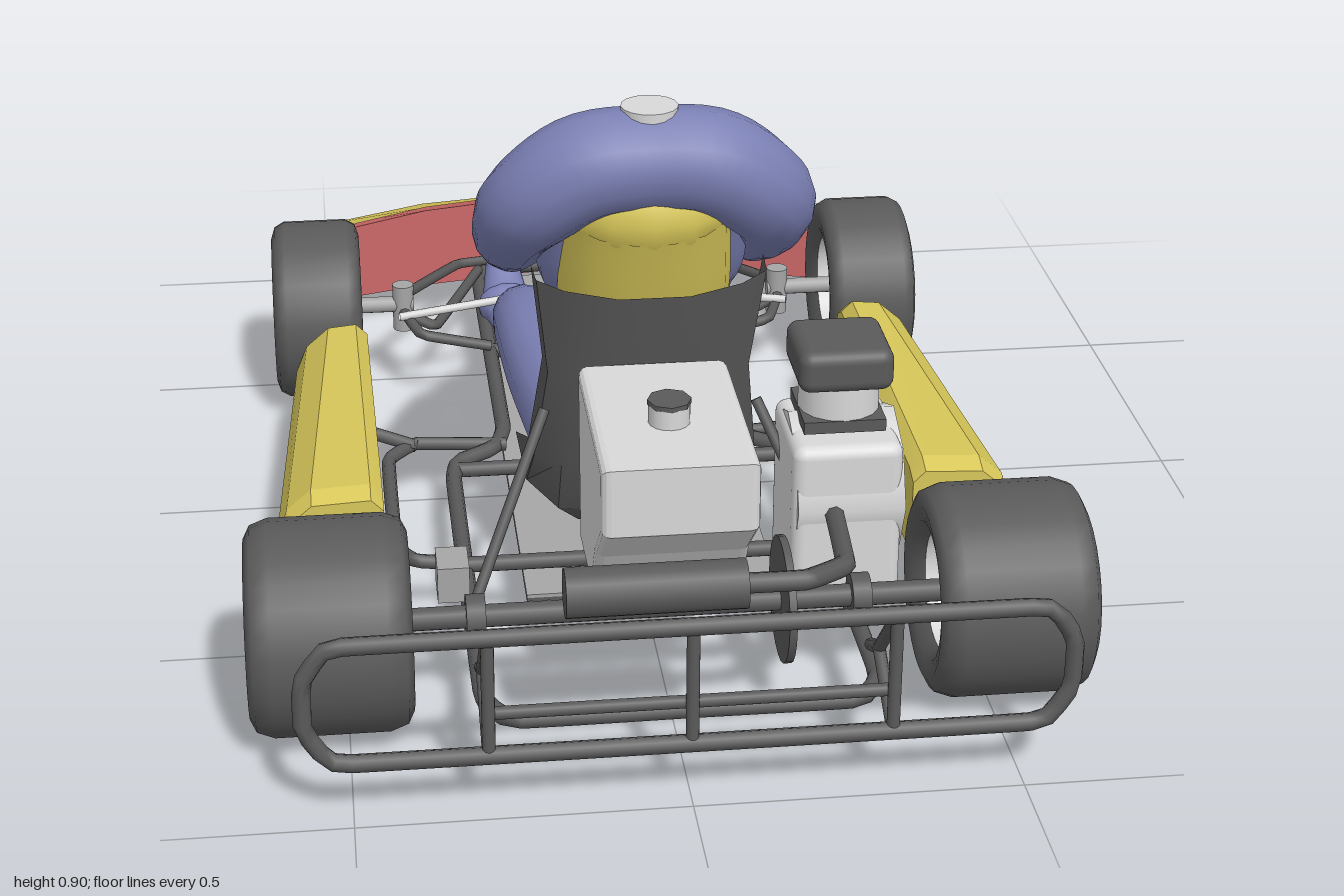
import * as THREE from 'three';
import { RoundedBoxGeometry } from 'three/addons/geometries/RoundedBoxGeometry.js';
import { toCreasedNormals } from 'three/addons/utils/BufferGeometryUtils.js';

const material = (name, color) => Object.assign(new THREE.MeshStandardMaterial({ color, side: THREE.DoubleSide }), { name });
const yellow = material('yellow', 0xd8c75a), red = material('red', 0xcc6868), blue = material('blue', 0x7b80b4),
  dark = material('dark grey', 0x5a5a5a), light = material('light grey', 0xd9d9d9), mid = material('mid grey', 0xa6a6a6);
const V = (p) => new THREE.Vector3(...p);

export function createModel() {
  const root = new THREE.Group();
  root.name = 'goKart';

  const add = (name, geometry, mat, pos = [0, 0, 0], parent = root) => {
    const m = new THREE.Mesh(geometry, mat);
    m.name = name;
    m.position.set(...pos);
    parent.add(m);
    return m;
  };
  const box = (name, mat, size, pos, r = 0) =>
    add(name, r ? new RoundedBoxGeometry(...size, 3, r) : new THREE.BoxGeometry(...size), mat, pos);
  const cyl = (name, mat, r, h, pos, axis = 'y', sides = 16) => {
    const g = new THREE.CylinderGeometry(r, r, h, sides);
    if (axis === 'x') g.rotateZ(Math.PI / 2);
    if (axis === 'z') g.rotateX(Math.PI / 2);
    return add(name, g, mat, pos);
  };
  // Bent pipe with tight corners
  const pipe = (name, pts, r = 0.012, mat = dark, closed = false) => {
    const curve = new THREE.CatmullRomCurve3(pts.map(V), closed, 'catmullrom', 0.1);
    return add(name, new THREE.TubeGeometry(curve, pts.length * 8, r, 8, closed), mat);
  };
  // Tapered tube through points [x, y, z, radius], stretched by sx across x
  const limb = (name, mat, pts, sx = 1) => {
    const seg = (pts.length - 1) * 6, sides = 14;
    const curve = new THREE.CatmullRomCurve3(pts.map((p) => V(p.slice(0, 3))));
    const radii = new THREE.CatmullRomCurve3(pts.map((p) => new THREE.Vector3(p[3], 0, 0)));
    const g = new THREE.TubeGeometry(curve, seg, 1, sides), pos = g.attributes.position;
    // match the even spacing of the tube rings to curve parameters
    for (let i = 0; i <= seg; i++) {
      const c = curve.getPointAt(i / seg), r = radii.getPoint(curve.getUtoTmapping(i / seg)).x;
      for (let j = 0; j <= sides; j++) {
        const k = i * (sides + 1) + j, v = new THREE.Vector3().fromBufferAttribute(pos, k).sub(c).multiplyScalar(r);
        pos.setXYZ(k, c.x + v.x * sx, c.y + v.y, c.z + v.z);
      }
    }
    g.computeVertexNormals();
    const m = add(name, g, mat);
    for (const p of [pts[0], pts[pts.length - 1]]) { // rounded ends
      const end = add(name + 'End', new THREE.SphereGeometry(p[3], 12, 8), mat, p.slice(0, 3));
      end.scale.x = sx;
    }
    return m;
  };
  // Skin over matching cross-sections
  const loft = (name, mat, rings, closed = true, crease = 0.3) => {
    const n = rings[0].length, verts = rings.flat(2), idx = [];
    for (let i = 0; i < rings.length - 1; i++) {
      for (let j = 0; j < (closed ? n : n - 1); j++) {
        const a = i * n + j, b = i * n + (j + 1) % n;
        idx.push(a, b, a + n, b, b + n, a + n);
      }
    }
    if (closed) {
      const last = (rings.length - 1) * n;
      for (let j = 1; j < n - 1; j++) idx.push(0, j + 1, j, last, last + j, last + j + 1);
    }
    const g = new THREE.BufferGeometry();
    g.setAttribute('position', new THREE.Float32BufferAttribute(verts, 3));
    g.setIndex(idx);
    return add(name, toCreasedNormals(g, crease), mat);
  };
  const both = (fn) => [1, -1].forEach((s) => fn(s, s > 0 ? 'left' : 'right'));

  // Wheels: hollow rim, tyre, hub and spokes
  const wheel = (name, x, y, z, r, w) => {
    const g = new THREE.Group();
    g.name = name;
    g.position.set(x, y, z);
    g.rotation.z = Math.PI / 2;
    root.add(g);
    const tyre = [[0.092, -w * 0.8], [0.11, -w * 0.95], [r - 0.03, -w], [r - 0.01, -w * 0.92], [r, -w * 0.7]];
    const profile = [...tyre, ...tyre.map(([a, b]) => [a, -b]).reverse()].map((p) => new THREE.Vector2(...p));
    add('tyre', new THREE.LatheGeometry(profile, 28), dark, [0, 0, 0], g);
    add('rim', new THREE.CylinderGeometry(0.092, 0.092, w * 1.6, 24, 1, true), light, [0, 0, 0], g);
    add('hub', new THREE.CylinderGeometry(0.045, 0.045, w * 0.9, 8), dark, [0, 0, 0], g);
    for (let i = 0; i < 3; i++) {
      const spoke = add('spoke', new THREE.BoxGeometry(0.18, 0.012, 0.022), light, [0, 0, 0], g);
      spoke.rotation.y = i * Math.PI / 3;
    }
  };
  both((s, side) => {
    wheel(side + 'RearWheel', s * 0.525, 0.17, 0.7, 0.168, 0.125);
    wheel(side + 'FrontWheel', s * 0.522, 0.175, -0.47, 0.166, 0.082);
  });

  // Floor pan and frame
  box('floorTop', mid, [0.41, 0.006, 1.28], [0, 0.083, -0.14]);
  box('floorUnderside', dark, [0.41, 0.006, 1.28], [0, 0.077, -0.14]);
  both((s, side) => {
    pipe(side + 'MainRail', [[0, 0.1, -0.8], [s * 0.17, 0.1, -0.79], [s * 0.2, 0.1, -0.74], [s * 0.2, 0.1, -0.08], [s * 0.22, 0.1, 0],
      [s * 0.29, 0.1, 0.05], [s * 0.3, 0.1, 0.12], [s * 0.3, 0.12, 0.85], [s * 0.26, 0.12, 0.92], [0, 0.12, 0.92]], 0.014);
    pipe(side + 'SideHoop', [[s * 0.2, 0.1, -0.01], [s * 0.36, 0.11, -0.01], [s * 0.41, 0.11, 0.05], [s * 0.41, 0.11, 0.36], [s * 0.38, 0.11, 0.41], [s * 0.3, 0.1, 0.41]]);
    pipe(side + 'PodBar', [[s * 0.36, 0.11, 0], [s * 0.46, 0.15, 0]]);
    pipe(side + 'Wishbone', [[s * 0.1, 0.12, -0.8], [s * 0.24, 0.13, -0.75], [s * 0.37, 0.17, -0.5], [s * 0.33, 0.15, -0.38], [s * 0.2, 0.12, -0.38]], 0.01);
    pipe(side + 'UpperArm', [[s * 0.2, 0.12, -0.74], [s * 0.3, 0.13, -0.46], [s * 0.38, 0.17, -0.47]], 0.01);
    pipe(side + 'TieRod', [[s * 0.03, 0.18, -0.5], [s * 0.37, 0.17, -0.42]], 0.008, light);
    cyl(side + 'StubAxle', mid, 0.015, 0.18, [s * 0.43, 0.175, -0.47], 'x');
    cyl(side + 'KingPin', mid, 0.02, 0.09, [s * 0.36, 0.17, -0.47]);
    cyl(side + 'AxleBearing', dark, 0.035, 0.03, [s * 0.3, 0.17, 0.7], 'x');
    box(side + 'Pedal', dark, [0.05, 0.1, 0.012], [s * 0.16, 0.16, -0.68]);
    pipe(side + 'SeatStay', [[s * 0.3, 0.12, 0.6], [s * 0.17, 0.4, 0.46]], 0.009);
  });
  [[0.12, 0.45], [0.1, 0.08], [0.1, -0.4]].forEach(([y, z]) => cyl('crossTube', dark, 0.013, z < 0 ? 0.4 : 0.6, [0, y, z], 'x'));
  cyl('rearAxle', dark, 0.018, 0.95, [0, 0.17, 0.7], 'x');
  cyl('brakeDisc', dark, 0.1, 0.012, [0.18, 0.17, 0.7], 'x', 24);
  box('brakeCaliper', mid, [0.05, 0.06, 0.07], [-0.33, 0.2, 0.62]);

  // Rear bumper
  pipe('rearBumper', [[-0.5, 0.1, 0.98], [0.5, 0.1, 0.98], [0.54, 0.115, 0.98], [0.568, 0.16, 0.98], [0.568, 0.24, 0.98], [0.54, 0.285, 0.98],
    [0.5, 0.297, 0.98], [-0.5, 0.297, 0.98], [-0.54, 0.285, 0.98], [-0.568, 0.24, 0.98], [-0.568, 0.16, 0.98], [-0.54, 0.115, 0.98]], 0.014, dark, true);
  [-0.3, 0, 0.3].forEach((x) => {
    cyl('bumperPost', dark, 0.01, 0.2, [x, 0.2, 0.98]);
    if (x) [0.1, 0.297].forEach((y) => pipe('bumperStay', [[x, y, 0.98], [x, 0.17, 0.86], [x, 0.14, 0.8]], 0.01));
  });
  cyl('bumperBar', dark, 0.01, 0.6, [0, 0.165, 0.97], 'x');

  // Side pods
  both((s, side) => {
    const ends = [[-0.235, 0.435, 0.56, 0.24], [-0.2, 0.435, 0.565, 0.26], [0.44, 0.43, 0.605, 0.272], [0.475, 0.43, 0.605, 0.26]];
    loft(side + 'PodTop', yellow, ends.map(([z, a, b, h]) =>
      [[a, 0.11], [a, h - 0.02], [a + 0.02, h], [b - 0.06, h - 0.005], [b - 0.02, h - 0.04], [b, 0.17], [b, 0.11]].map(([x, y]) => [s * x, y, z])));
    loft(side + 'PodBase', red, ends.map(([z, a, b]) =>
      [[a, 0.11], [b, 0.11], [b - 0.035, 0.06], [a + 0.02, 0.06]].map(([x, y]) => [s * x, y, z])));
  });

  // Nose fairing: [x, rear z, rear top y, front z, front top y]
  const nose = [[0.505, -0.73, 0.215, -0.84, 0.185], [0.3, -0.79, 0.232, -0.965, 0.17], [0, -0.845, 0.238, -0.997, 0.16]];
  const span = [...nose.map(([x, ...q]) => [-x, ...q]), ...nose.slice(0, 2).reverse()];
  loft('noseBody', red, span.map(([x, zr, yr, zf, yf]) => [[x, 0.07, zr], [x, yr, zr], [x, yf, zf], [x, 0.075, zf], [x, 0.063, (zr + zf) / 2]]));
  loft('noseTop', yellow, span.map(([x, zr, yr, zf, yf]) => [[x, yr + 0.004, zr - 0.008], [x, yf + 0.004, zf - 0.003]]), false);

  // Column fairing: [z, y, half width]
  const panel = [[-0.2, 0.565, 0.11], [-0.34, 0.485, 0.096], [-0.58, 0.348, 0.073], [-0.81, 0.23, 0.064]];
  loft('columnFairingTop', yellow, panel.map(([z, y, w]) => [[-w, y, z], [w, y, z]]), false);
  loft('columnFairingEdge', red, panel.map(([z, y, w]) => [[-w - 0.006, y - 0.004, z], [w + 0.006, y - 0.004, z], [w + 0.002, y - 0.035, z], [-w - 0.002, y - 0.035, z]]));

  // Steering
  const steering = new THREE.Group();
  steering.name = 'steeringWheel';
  steering.position.set(0, 0.56, -0.05);
  steering.rotation.x = -0.52;
  root.add(steering);
  add('steeringRim', new THREE.TorusGeometry(0.1, 0.01, 8, 28), dark, [0, 0, 0], steering);
  for (let i = 0; i < 3; i++) {
    const spoke = add('steeringSpoke', new THREE.BoxGeometry(0.02, 0.1, 0.008).translate(0, -0.05, 0), dark, [0, 0, 0], steering);
    spoke.rotation.z = i * Math.PI * 2 / 3;
  }
  pipe('steeringColumn', [[0, 0.56, -0.06], [0, 0.19, -0.62]], 0.014);
  both((s, side) => pipe(side + 'ColumnSupport', [[s * 0.03, 0.4, -0.34], [s * 0.1, 0.1, -0.5]], 0.01));

  // Seat shell: [y, half width, back z, wing z]
  const seatRows = [[0.62, 0.185, 0.51, 0.41], [0.45, 0.165, 0.475, 0.37], [0.28, 0.185, 0.43, 0.32], [0.18, 0.19, 0.4, 0.1], [0.13, 0.14, 0.35, 0.12], [0.125, 0.01, 0.25, 0.18]];
  loft('seat', dark, seatRows.map(([y, w, zb, zf], i) =>
    [[-1, zf], [-0.98, zb * 0.6 + zf * 0.4], [-0.75, zb - 0.015], [-0.3, zb], [0.3, zb], [0.75, zb - 0.015], [0.98, zb * 0.6 + zf * 0.4], [1, zf]]
      .map(([x, z]) => [x * w, y + (i ? 0 : 0.025 * x * x - 0.015), z])), false, 0.7);

  // Fuel tank
  const side = new THREE.Shape([[0.83, 0.47], [0.83, 0.38], [0.74, 0.3], [0.68, 0.21], [0.52, 0.2], [0.5, 0.47]].map((p) => new THREE.Vector2(...p)));
  const tank = new THREE.ExtrudeGeometry(side, { depth: 0.21, bevelSize: 0.014, bevelThickness: 0.014, bevelSegments: 3 });
  add('fuelTank', tank.rotateY(-Math.PI / 2).translate(0.105, 0, 0), light);
  cyl('fillerNeck', light, 0.032, 0.04, [0, 0.495, 0.69]);
  cyl('fillerCap', dark, 0.034, 0.008, [0, 0.518, 0.69], 'y', 8);

  // Engine, air filter and exhaust
  box('engineBlock', light, [0.175, 0.28, 0.2], [0.29, 0.255, 0.54], 0.02);
  cyl('engineCover', light, 0.12, 0.17, [0.295, 0.29, 0.53], 'x', 8);
  box('carburettorGasket', dark, [0.13, 0.02, 0.13], [0.29, 0.41, 0.53]);
  cyl('carburettor', light, 0.065, 0.06, [0.29, 0.445, 0.53]);
  box('airFilter', dark, [0.15, 0.07, 0.15], [0.29, 0.505, 0.53], 0.02);
  cyl('muffler', dark, 0.038, 0.27, [-0.045, 0.315, 0.895], 'x');
  pipe('exhaustPipe', [[0.09, 0.315, 0.895], [0.18, 0.315, 0.895], [0.25, 0.3, 0.83], [0.27, 0.28, 0.62]], 0.016);

  // Driver body
  limb('vest', yellow, [[0, 0.42, 0.3, 0.08], [0, 0.56, 0.36, 0.09], [0, 0.72, 0.42, 0.085]], 1.55);
  limb('hips', blue, [[0, 0.22, 0.27, 0.08], [0, 0.33, 0.27, 0.085]], 1.7);
  limb('belt', light, [[0, 0.4, 0.285, 0.085], [0, 0.425, 0.292, 0.085]], 1.6);
  limb('shoulders', blue, [[-0.2, 0.6, 0.22, 0.06], [-0.207, 0.65, 0.31, 0.063], [-0.185, 0.735, 0.41, 0.078], [-0.1, 0.8, 0.435, 0.085], [0, 0.81, 0.435, 0.083],
    [0.1, 0.8, 0.435, 0.085], [0.185, 0.735, 0.41, 0.078], [0.207, 0.65, 0.31, 0.063], [0.2, 0.6, 0.22, 0.06]]);
  cyl('neck', light, 0.045, 0.03, [0, 0.882, 0.43]);
  both((s, name) => {
    limb(name + 'JacketFront', blue, [[s * 0.09, 0.47, 0.265, 0.045], [s * 0.105, 0.56, 0.3, 0.05], [s * 0.12, 0.72, 0.38, 0.05]]);
    limb(name + 'Forearm', blue, [[s * 0.195, 0.6, 0.17, 0.05], [s * 0.17, 0.58, 0.08, 0.042]]);
    limb(name + 'Cuff', light, [[s * 0.16, 0.572, 0.05, 0.032], [s * 0.145, 0.565, 0.02, 0.03]]);
    limb(name + 'Hand', light, [[s * 0.14, 0.565, 0.01, 0.026], [s * 0.115, 0.56, -0.03, 0.032], [s * 0.095, 0.555, -0.06, 0.018]]);
    limb(name + 'Leg', blue, [[s * 0.09, 0.24, 0.24, 0.085], [s * 0.125, 0.26, 0.04, 0.075], [s * 0.145, 0.27, -0.15, 0.065], [s * 0.15, 0.22, -0.3, 0.05], [s * 0.15, 0.17, -0.4, 0.042]]);
    limb(name + 'Ankle', light, [[s * 0.15, 0.16, -0.43, 0.034], [s * 0.152, 0.14, -0.48, 0.034]]);
    limb(name + 'Shoe', blue, [[s * 0.153, 0.125, -0.5, 0.036], [s * 0.158, 0.14, -0.56, 0.036], [s * 0.16, 0.18, -0.61, 0.028]], 1.2);
  });
  return root;
}
